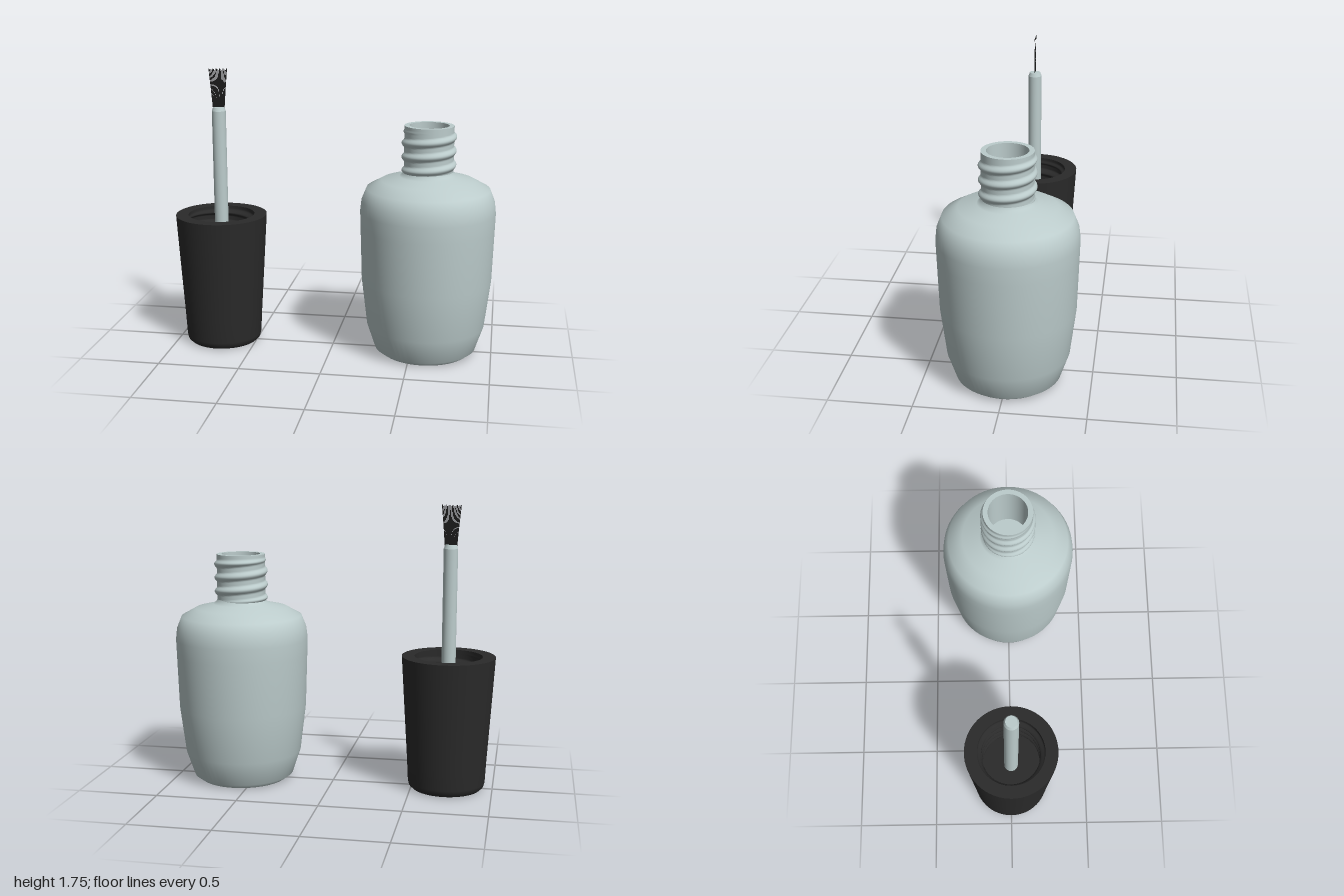
import * as THREE from 'three';
import { mergeVertices } from 'three/addons/utils/BufferGeometryUtils.js';

const glass = new THREE.MeshStandardMaterial({ name: 'pale grey green', color: 0xbccccc });
const black = new THREE.MeshStandardMaterial({ name: 'soft black', color: 0x2a2a2a });
const bristleBlack = new THREE.MeshStandardMaterial({ name: 'bristle black', color: 0x1c1c1c, side: THREE.DoubleSide });

const SEGMENTS = 64;
const PITCH = 0.085;

function add(parent, name, geometry, material) {
  const mesh = new THREE.Mesh(geometry, material);
  mesh.name = name;
  parent.add(mesh);
  return mesh;
}

// Smooth surface of revolution from [radius, height] pairs
function turned(points) {
  return new THREE.LatheGeometry(points.map(([r, y]) => new THREE.Vector2(r, y)), SEGMENTS);
}

// Cylinder wall from y0 to y1 with a helical ridge; it faces inwards when y1 < y0
function threadedWall(radius, y0, y1, ridge, phase) {
  const rows = 56;
  const points = [];
  for (let i = 0; i <= rows; i++) points.push([radius, y0 + (y1 - y0) * i / rows]);
  let geometry = turned(points);
  geometry.deleteAttribute('uv');
  geometry.deleteAttribute('normal');
  const pos = geometry.attributes.position;
  const low = Math.min(y0, y1), high = Math.max(y0, y1);
  for (let i = 0; i < pos.count; i++) {
    const x = pos.getX(i), y = pos.getY(i), z = pos.getZ(i);
    const angle = Math.atan2(-z, x);
    const wave = Math.max(0, 0.25 + 0.75 * Math.cos(2 * Math.PI * (y - phase) / PITCH - angle));
    const fade = THREE.MathUtils.smoothstep(y, low, low + 0.03) * (1 - THREE.MathUtils.smoothstep(y, high - 0.05, high - 0.02));
    const scale = 1 + ridge * wave * fade / radius;
    pos.setXYZ(i, x * scale, y, z * scale);
  }
  geometry = mergeVertices(geometry, 1e-5);
  geometry.computeVertexNormals();
  return geometry;
}

function createBottle() {
  const bottle = new THREE.Group();
  bottle.name = 'bottle';
  add(bottle, 'bottleBase', turned([[0, 0], [0.275, 0]]), glass);
  add(bottle, 'bottleBody', turned([
    [0.275, 0], [0.315, 0.03], [0.365, 0.18], [0.4, 0.47], [0.41, 0.8], [0.413, 0.9],
    [0.405, 0.97], [0.375, 1.045], [0.285, 1.095], [0.175, 1.12], [0.157, 1.135], [0.15, 1.15],
  ]), glass);
  add(bottle, 'threadedNeck', threadedWall(0.15, 1.13, 1.43, 0.016, 1.279), glass);
  add(bottle, 'neckRim', turned([[0.15, 1.43], [0.12, 1.43]]), glass);
  add(bottle, 'neckInside', turned([[0.12, 1.43], [0.12, 1.1]]), glass);
  add(bottle, 'neckFloor', turned([[0.12, 1.1], [0, 1.1]]), glass);
  return bottle;
}

function createCap() {
  const cap = new THREE.Group();
  cap.name = 'brushCap';
  add(cap, 'capEnd', turned([[0, 0], [0.215, 0.003]]), black);
  add(cap, 'capWall', turned([[0.215, 0.003], [0.232, 0.02], [0.238, 0.045], [0.245, 0.18], [0.265, 0.5], [0.285, 0.83]]), black);
  add(cap, 'capRim', turned([[0.285, 0.83], [0.207, 0.83]]), black);
  add(cap, 'capThread', threadedWall(0.207, 0.83, 0.5, -0.03, 0.6), black);
  add(cap, 'capFloor', turned([[0.207, 0.5], [0, 0.5]]), black);

  // Applicator stem with a bevelled tip
  add(cap, 'stem', turned([[0.043, 0.5], [0.043, 1.485]]), glass);
  add(cap, 'stemBevel', turned([[0.043, 1.485], [0.034, 1.508]]), glass);
  add(cap, 'stemTip', turned([[0.034, 1.508], [0, 1.508]]), glass);

  // Flat fan of bristles, packed at the root and parted at the ends
  const count = 16;
  const brush = new THREE.Group();
  brush.name = 'brush';
  for (let i = 0; i < count; i++) {
    const t = (i + 0.5) / count * 2 - 1;
    const root = t * 0.037, mid = t * 0.047, tip = t * 0.06;
    const top = 1.745 - 0.008 * ((i * 7) % 3) / 2;
    const shape = new THREE.Shape([
      [root - 0.0025, 1.5], [root + 0.0025, 1.5], [mid + 0.0027, 1.62],
      [tip + 0.0024, top], [tip - 0.0024, top], [mid - 0.0027, 1.62],
    ].map(([x, y]) => new THREE.Vector2(x, y)));
    add(brush, 'bristle', new THREE.ShapeGeometry(shape), bristleBlack);
  }
  cap.add(brush);
  return cap;
}

export function createModel() {
  const model = new THREE.Group();
  model.name = 'nailPolish';
  const bottle = createBottle();
  bottle.position.x = 0.585;
  const cap = createCap();
  cap.position.x = -0.715;
  model.add(bottle, cap);
  return model;
}
